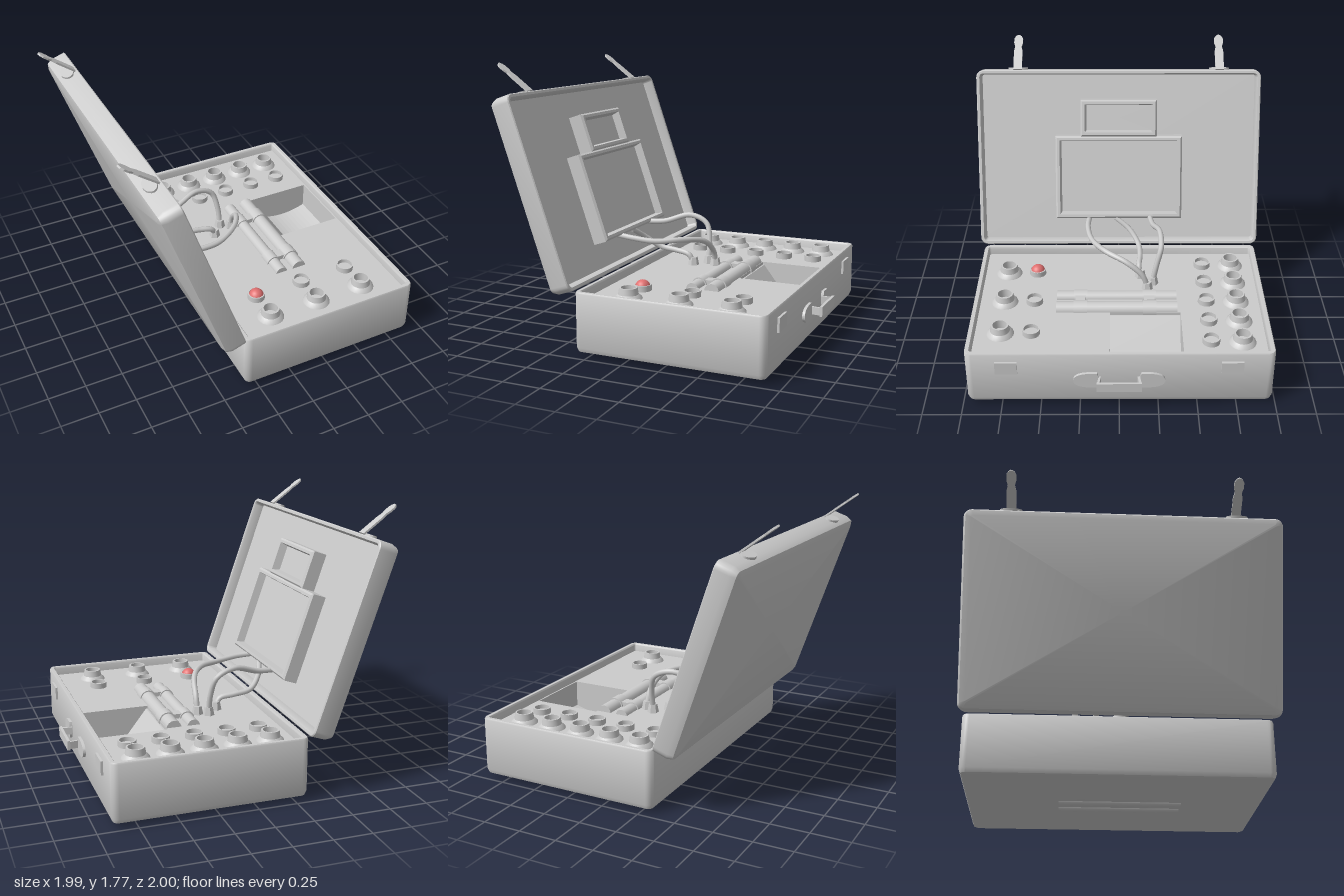
import * as THREE from 'three';
import { toCreasedNormals } from 'three/addons/utils/BufferGeometryUtils.js';

const grey = new THREE.MeshStandardMaterial({ color: 0xcccccc, side: THREE.DoubleSide });
const red = new THREE.MeshStandardMaterial({ color: 0xe07070 });

function add(parent, name, geometry, x = 0, y = 0, z = 0, material = grey) {
  const mesh = new THREE.Mesh(geometry, material);
  mesh.name = name;
  mesh.position.set(x, y, z);
  parent.add(mesh);
  return mesh;
}
const box = (w, h, d) => new THREE.BoxGeometry(w, h, d);

// Rounded rectangle outline; a null inset collapses it to the centre.
function outline(w, l, r, inset, seg) {
  const pts = [];
  for (let c = 0; c < 4; c++) {
    const sx = c === 0 || c === 3 ? 1 : -1, sz = c < 2 ? 1 : -1;
    const rad = Math.max(r - inset, r * 0.2);
    for (let i = 0; i <= seg; i++) {
      const a = (c + (seg ? i / seg : 0.5)) * Math.PI / 2;
      pts.push(inset === null ? [0, 0] : [
        sx * (w / 2 - inset - rad) + rad * Math.cos(a),
        sz * (l / 2 - inset - rad) + rad * Math.sin(a)]);
    }
  }
  return pts;
}

// Tray lofted through [inset, height] levels, outside first and then inside.
function tray(w, l, r, levels, seg = 5) {
  const pos = [], index = [];
  const n = 4 * (seg + 1);
  levels.forEach(([inset, y]) => outline(w, l, r, inset, seg).forEach(([x, z]) => pos.push(x, y, z)));
  for (let k = 0; k < levels.length - 1; k++) {
    for (let i = 0; i < n; i++) {
      const j = (i + 1) % n;
      const a = k * n + i, b = k * n + j, c = b + n, d = a + n;
      if (levels[k][0] !== null) index.push(a, d, b);
      if (levels[k + 1][0] !== null) index.push(b, d, c);
    }
  }
  const g = new THREE.BufferGeometry();
  g.setAttribute('position', new THREE.Float32BufferAttribute(pos, 3));
  g.setIndex(index);
  return toCreasedNormals(g, 0.7);
}

const lathe = (pts) => toCreasedNormals(
  new THREE.LatheGeometry(pts.map(p => new THREE.Vector2(...p)), 24), 0.6);
const extrude = (shape, depth) =>
  new THREE.ExtrudeGeometry(shape, { depth, bevelEnabled: false, curveSegments: 10 });
const polygon = (pts) => new THREE.Shape(pts.map(p => new THREE.Vector2(...p)));

function buildBase(root) {
  const base = new THREE.Group();
  base.name = 'base';
  root.add(base);
  const cx = 0.285;
  add(base, 'baseShell', tray(1.24, 1.95, 0.045, [
    [null, 0.02], [0.04, 0.02], [0.012, 0.032], [0, 0.06], [0, 0.4], [0.006, 0.41],
    [0.028, 0.41], [0.035, 0.4], [0.035, 0.3]]), cx, 0, -0.005);

  // control panel with the open compartment cut out
  const panel = polygon([[-0.31, -0.955], [0.88, -0.955], [0.88, 0.945], [-0.31, 0.945]]);
  panel.holes.push(polygon([[0.4, -0.41], [0.4, 0.06], [0.86, 0.06], [0.86, -0.41]]));
  add(base, 'controlPanel', extrude(panel, 0.03).rotateX(Math.PI / 2), 0, 0.35, 0);
  const trough = polygon([[0.38, 0.33], [0.38, 0.06], [0.88, 0.06], [0.88, 0.33], [0.86, 0.33], [0.86, 0.17]]);
  trough.quadraticCurveTo(0.7, 0.11, 0.55, 0.15);
  trough.lineTo(0.41, 0.33);
  add(base, 'compartment', extrude(trough, 0.47), 0, 0, -0.41);
  for (const z of [-0.42, 0.07]) add(base, 'compartmentEnd', box(0.5, 0.27, 0.02), 0.63, 0.195, z);

  // sockets: flared and plain, in two banks
  const flared = lathe([[0.092, 0.34], [0.086, 0.358], [0.064, 0.378], [0.057, 0.42], [0.046, 0.42], [0.046, 0.36], [0, 0.36]]);
  const plain = lathe([[0.057, 0.34], [0.057, 0.388], [0.048, 0.388], [0.048, 0.36], [0, 0.36]]);
  for (const x of [-0.15, 0.065, 0.28, 0.495, 0.71]) {
    add(base, 'flaredSocket', flared, x, 0, -0.79);
    add(base, 'plainSocket', plain, x, 0, -0.59);
  }
  for (const x of [-0.06, 0.28, 0.62]) {
    add(base, 'flaredSocket', flared, x, 0, 0.77);
    add(base, 'plainSocket', plain, x, 0, 0.57);
  }
  add(base, 'redLamp', new THREE.SphereGeometry(0.05, 20, 14), -0.06, 0.368, 0.57, red);

  // pair of rods with collars and bridges, and the ridges under the floor
  for (const [x, r] of [[0.215, 0.042], [0.348, 0.05]]) {
    add(base, 'rod', new THREE.CylinderGeometry(r, r, 0.81, 18).rotateX(Math.PI / 2), x, 0.345, 0.015);
    for (const z of [-0.205, 0.26]) {
      add(base, 'rodCollar', new THREE.CylinderGeometry(r + 0.008, r + 0.008, 0.09, 18).rotateX(Math.PI / 2), x, 0.345, z);
    }
    add(base, 'floorRidge', new THREE.CylinderGeometry(0.03, 0.03, 0.8, 14).rotateX(Math.PI / 2), x, 0.03, 0.03);
  }
  for (const z of [-0.205, 0.26]) add(base, 'rodBridge', box(0.08, 0.04, 0.07), 0.28, 0.36, z);

  // latch plates and carrying handle
  const leaf = new THREE.Shape();
  leaf.moveTo(0.14, -0.055);
  leaf.lineTo(0.2, -0.055);
  leaf.bezierCurveTo(0.26, -0.05, 0.29, -0.03, 0.29, 0);
  leaf.bezierCurveTo(0.29, 0.03, 0.26, 0.05, 0.2, 0.055);
  leaf.lineTo(0.14, 0.055);
  leaf.quadraticCurveTo(0.12, 0, 0.14, -0.055);
  const handle = new THREE.Group();
  handle.name = 'handle';
  handle.position.set(0.905, 0.212, 0);
  base.add(handle);
  for (const s of [-1, 1]) {
    add(base, 'latchPlate', box(0.02, 0.09, 0.14), 0.91, 0.305, s * 0.71);
    const cap = add(handle, 'handleMount', extrude(leaf, 0.018));
    cap.rotation.y = s * Math.PI / 2;
    if (s < 0) cap.position.x = 0.018;
    const leg = add(handle, 'handleLeg', box(0.08, 0.05, 0.015), 0.045, 0, s * 0.128);
    leg.rotation.y = -s * 0.15;
  }
  add(handle, 'handleGrip', box(0.018, 0.065, 0.285), 0.079, 0, 0);
}

function buildLid(root) {
  const lid = new THREE.Group();
  lid.name = 'lid';
  lid.position.set(-0.545, 1.005, 0);
  lid.rotation.z = -1.239;
  root.add(lid);
  add(lid, 'lidShell', tray(1.255, 2, 0.05, [
    [null, -0.15], [0.05, -0.15], [0.015, -0.137], [0, -0.1], [0, -0.006], [0.006, 0],
    [0.022, 0], [0.03, -0.012], [0.036, -0.07], [null, -0.07]]));

  // two framed screens
  const frame = (w, l) => tray(w, l, 0, [[0, -0.075], [0, 0.02], [0.012, 0.033], [0.03, 0.033], [0.042, -0.02], [null, -0.02]], 0);
  add(lid, 'mainScreen', frame(0.595, 0.9), 0.132, 0, 0);
  add(lid, 'smallScreen', frame(0.26, 0.54), -0.292, 0, 0);

  // hasps on the top edge
  const half = [[0, 0.03], [0.15, 0.03], [0.185, 0.022], [0.215, 0.031], [0.25, 0.031], [0.27, 0.02], [0.28, 0.006]];
  const hasp = extrude(polygon([...half, ...half.slice().reverse().map(([a, b]) => [a, -b])]), 0.012).rotateX(Math.PI / 2);
  for (const z of [-0.71, 0.71]) {
    const plate = add(lid, 'haspPlate', new THREE.CylinderGeometry(0.042, 0.042, 0.02, 16), -0.63, -0.07, z);
    plate.rotation.z = Math.PI / 2;
    plate.scale.z = 1.65;
    add(root, 'hasp', hasp, -0.772, 1.59, z).rotation.z = Math.PI - 0.637;
  }
}

function buildCables(root) {
  const paths = [
    [[-0.42, 0.61, -0.22], [-0.28, 0.62, -0.24], [-0.1, 0.67, -0.285], [0.02, 0.62, -0.29], [0.055, 0.5, -0.26], [0.06, 0.37, -0.235]],
    [[-0.4, 0.6, 0.02], [-0.35, 0.53, -0.08], [-0.27, 0.46, -0.14], [-0.15, 0.44, -0.15], [-0.05, 0.42, -0.14], [-0.02, 0.36, -0.15]],
    [[-0.42, 0.6, 0.21], [-0.3, 0.59, 0.22], [-0.15, 0.575, 0.19], [0.01, 0.58, 0.09], [0.1, 0.55, -0.05], [0.125, 0.46, -0.16], [0.125, 0.37, -0.195]],
  ];
  for (const path of paths) {
    const curve = new THREE.CatmullRomCurve3(path.map(p => new THREE.Vector3(...p)));
    add(root, 'cable', new THREE.TubeGeometry(curve, 32, 0.019, 8));
    const [x, , z] = path[path.length - 1];
    add(root, 'cablePlug', toCreasedNormals(new THREE.CylinderGeometry(0.028, 0.04, 0.06, 6), 0.5), x, 0.375, z);
  }
}

export function createModel() {
  const root = new THREE.Group();
  root.name = 'openCase';
  buildBase(root);
  buildLid(root);
  buildCables(root);
  return root;
}
